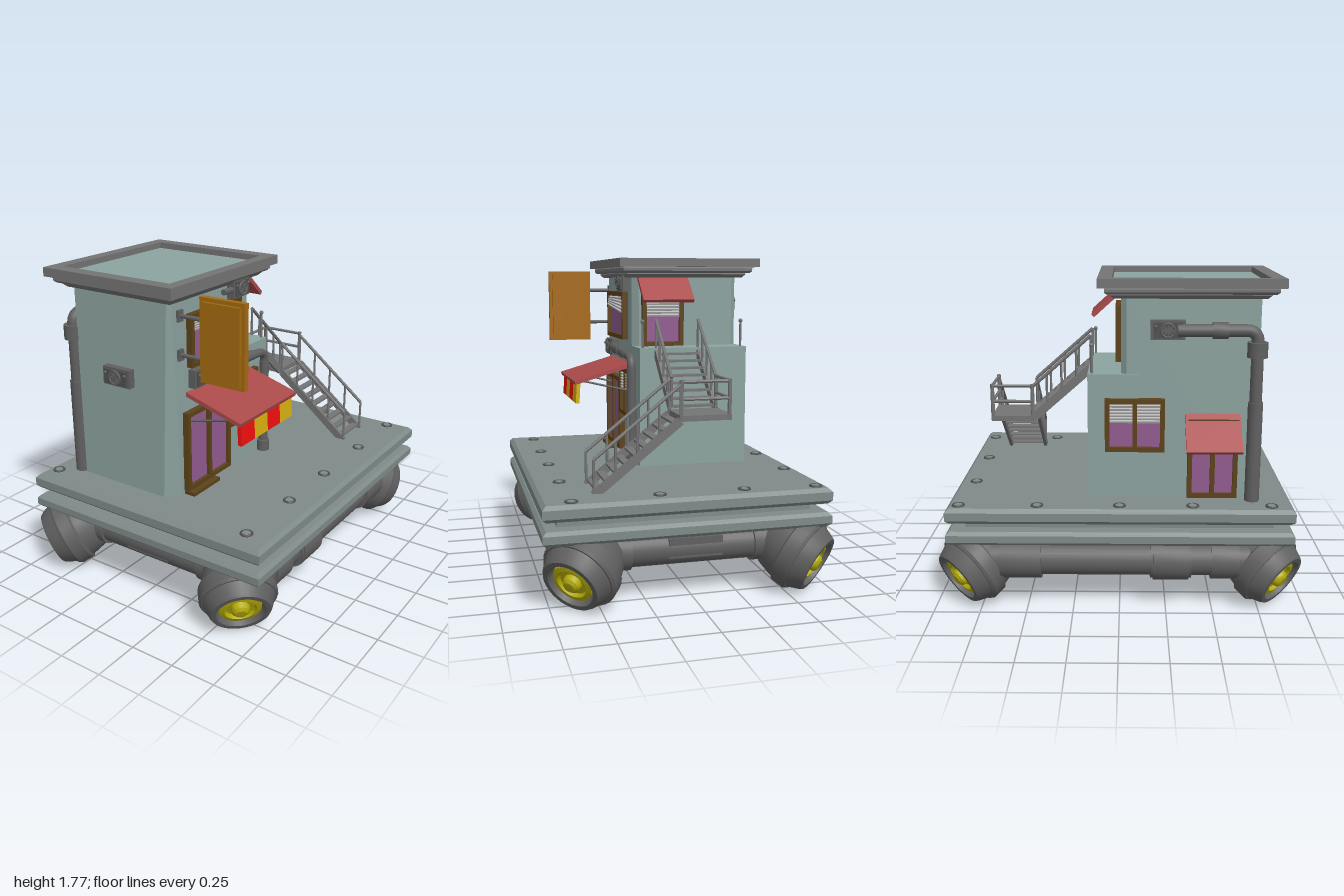
import * as THREE from 'three';
import { toCreasedNormals } from 'three/addons/utils/BufferGeometryUtils.js';

const C = {
  wall: 0x8ca39f, deck: 0x7f8b89, trim: 0x747474, metal: 0x606060, dark: 0x505050, red: 0xaa4a4a,
  stripeA: 0xf01010, stripeB: 0xd8b010, sign: 0xa56a10, pane: 0x935c90, wood: 0x5c4219, hub: 0xb3ab08, slat: 0xb8b8b8,
};
const mats = {};
const mat = (c) => (mats[c] ??= new THREE.MeshStandardMaterial({ color: C[c], side: THREE.DoubleSide }));
const V = (p) => new THREE.Vector3(...p);

function add(parent, name, geo, color, pos = [0, 0, 0], rot = [0, 0, 0]) {
  const m = new THREE.Mesh(geo, mat(color));
  m.name = name;
  m.position.set(...pos);
  m.rotation.set(...rot);
  parent.add(m);
  return m;
}
function group(parent, name, pos = [0, 0, 0], ry = 0) {
  const g = new THREE.Group();
  g.name = name;
  g.position.set(...pos);
  g.rotation.y = ry;
  parent.add(g);
  return g;
}
const box = (w, h, d) => new THREE.BoxGeometry(w, h, d);
// Box given by its min and max corners
const span = (p, name, c, x0, x1, y0, y1, z0, z1) =>
  add(p, name, box(x1 - x0, y1 - y0, z1 - z0), c, [(x0 + x1) / 2, (y0 + y1) / 2, (z0 + z1) / 2]);

// Round bar between two points
function rod(p, name, a, b, r, c = 'metal', sides = 16) {
  const d = V(b).sub(V(a));
  const m = add(p, name, toCreasedNormals(new THREE.CylinderGeometry(r, r, d.length(), sides), 0.7), c);
  m.position.copy(V(a)).addScaledVector(d, 0.5);
  m.quaternion.setFromUnitVectors(new THREE.Vector3(0, 1, 0), d.normalize());
  return m;
}
function bentPipe(p, name, pts, r) {
  const path = new THREE.CurvePath();
  for (let i = 0, from = V(pts[0]); i < pts.length - 1; i++) {
    const end = V(pts[i + 1]);
    if (i === pts.length - 2) { path.add(new THREE.LineCurve3(from, end)); break; }
    const a = end.clone().add(from.clone().sub(end).setLength(0.06));
    const b = end.clone().add(V(pts[i + 2]).sub(end).setLength(0.06));
    path.add(new THREE.LineCurve3(from, a));
    path.add(new THREE.QuadraticBezierCurve3(a, end, b));
    from = b;
  }
  add(p, name, new THREE.TubeGeometry(path, 90, r, 16), 'metal');
}
// Horizontal slab with bevelled rim
function slab(p, name, c, x0, x1, y0, y1, z0, z1, b) {
  const s = new THREE.Shape([[x0 + b, -z0 - b], [x1 - b, -z0 - b], [x1 - b, -z1 + b], [x0 + b, -z1 + b]].map((q) => new THREE.Vector2(...q)));
  const g = new THREE.ExtrudeGeometry(s, { depth: y1 - y0 - 2 * b, bevelThickness: b, bevelSize: b, bevelSegments: 1 });
  add(p, name, g.rotateX(-Math.PI / 2).translate(0, y0 + b, 0), c);
}
// Frame with panes, facing local +z, base at y = 0
function opening(p, name, pos, ry, w, h, panes, blind = 0, tilt = 0) {
  const g = group(p, name, pos, ry), t = 0.025;
  add(g, 'pane', box(w - t, h - t, 0.02), 'pane', [0, h / 2, 0]);
  for (const y of [t / 2, h - t / 2]) add(g, 'frameRail', box(w, t, 0.06), 'wood', [0, y, 0]);
  for (let i = 0; i <= panes; i++)
    add(g, 'frameStile', box(t, h, 0.06), 'wood', [-w / 2 + t / 2 + (i * (w - t)) / panes, h / 2, 0]);
  for (let i = 0; i < blind; i++)
    add(g, 'blindSlat', box(w - 2 * t, 0.011, 0.016), 'slat', [0, h - t - 0.013 - i * 0.017, 0.016], [0.4, 0, -tilt * i]);
}
function fanUnit(p, pos, ry, w = 0.18) {
  const g = group(p, 'fanUnit', pos, ry);
  add(g, 'housing', box(w, 0.1, 0.05), 'metal', [0, 0, 0.015]);
  add(g, 'facePlate', box(w - 0.03, 0.08, 0.02), 'dark', [0, 0, 0.04]);
  add(g, 'fanRing', new THREE.TorusGeometry(0.036, 0.006, 8, 24), 'metal', [0, 0, 0.052]);
  for (let i = 0; i < 4; i++) add(g, 'fanBlade', box(0.065, 0.01, 0.006), 'metal', [0, 0, 0.053], [0, 0, (i * Math.PI) / 4]);
  for (const s of [-1, 1]) add(g, 'knob', new THREE.SphereGeometry(0.009, 10, 8), 'metal', [s * w * 0.36, 0.02, 0.05]);
}
// Sloping sheet facing local +z
function awning(p, name, pos, ry, w, run, drop) {
  const g = group(p, name, pos, ry);
  add(g, 'sheet', box(w, 0.022, Math.hypot(run, drop)), 'red', [0, -drop / 2, run / 2], [Math.atan2(drop, run), 0, 0]);
  return g;
}

function buildBase(root) {
  const base = group(root, 'base');
  slab(base, 'upperDeck', 'deck', -0.715, 0.795, 0.49, 0.575, -0.925, 0.93, 0.02);
  span(base, 'deckCore', 'deck', -0.63, 0.715, 0.43, 0.5, -0.83, 0.83);
  slab(base, 'lowerDeck', 'deck', -0.715, 0.795, 0.37, 0.445, -0.925, 0.93, 0.018);
  const bolts = [[-0.26, -0.83], [0.19, -0.83]];
  for (const z of [-0.86, -0.44, 0, 0.39, 0.81]) bolts.push([-0.645, z], [0.645, z]);
  for (const [x, z] of bolts) {
    add(base, 'boltRing', new THREE.TorusGeometry(0.028, 0.007, 8, 24), 'dark', [x, 0.577, z], [Math.PI / 2, 0, 0]);
    add(base, 'bolt', new THREE.CylinderGeometry(0.022, 0.022, 0.008, 20), 'deck', [x, 0.577, z]);
  }

  // Corner pods, tilted outward and down
  const prof = [[0, -0.19], [0.11, -0.19], [0.165, -0.13], [0.185, -0.06], [0.19, -0.03], [0.205, -0.02], [0.208, 0.05], [0.198, 0.065],
    [0.19, 0.065], [0.165, 0.125], [0.155, 0.14], [0.13, 0.14], [0.12, 0.09], [0, 0.09]].map((q) => new THREE.Vector2(...q));
  const podGeo = toCreasedNormals(new THREE.LatheGeometry(prof, 32), 0.5);
  const hubProf = [[0.118, 0.09], [0.11, 0.12], [0.085, 0.125], [0.075, 0.105], [0.05, 0.105], [0.045, 0.135], [0.03, 0.148], [0, 0.15]];
  const hubGeo = toCreasedNormals(new THREE.LatheGeometry(hubProf.map((q) => new THREE.Vector2(...q)), 28), 0.5);
  for (const sx of [-1, 1]) for (const sz of [-1, 1]) {
    const pod = group(base, 'cornerPod', [sx * 0.575, 0.212, sz * 0.787]);
    pod.quaternion.setFromUnitVectors(new THREE.Vector3(0, 1, 0), V([sx * 0.62, -0.42, sz * 0.66]).normalize());
    add(pod, 'podShell', podGeo, 'metal');
    add(pod, 'podHub', hubGeo, 'hub');
  }
  // Connecting tubes and collars
  for (const s of [-1, 1]) {
    rod(base, 'crossTube', [-0.5, 0.265, s * 0.72], [0.5, 0.265, s * 0.72], 0.09, 'metal', 28);
    for (const e of [-1, 1]) rod(base, 'crossCollar', [e * 0.33, 0.265, s * 0.72], [e * 0.5, 0.265, s * 0.72], 0.105, 'metal', 28);
    span(base, 'tubePanel', 'metal', -0.155, 0.135, 0.225, 0.33, s * 0.76 - 0.045, s * 0.76 + 0.045);
    const x = s * 0.63;
    rod(base, 'sideTube', [x, 0.27, -0.7], [x, 0.27, 0.7], 0.09, 'metal', 28);
    for (const [a, b, r] of [[0.18, 0.37, 0.115], [0.49, 0.64, 0.108], [-0.64, -0.42, 0.108], [0.165, 0.385, 0.105]])
      rod(base, 'sideCollar', [x, 0.27, a], [x, 0.27, b], r, 'metal', 28);
  }
}

function buildTower(root) {
  const t = group(root, 'tower');
  // Main shaft: cut front corner that narrows upward
  const foot = [[-0.5, -0.735], [0.065, -0.735], [0.135, -0.67], [0.135, -0.04], [0.1, -0.005], [-0.47, -0.005], [-0.5, -0.035]];
  const shaft = new THREE.ExtrudeGeometry(new THREE.Shape(foot.map((q) => new THREE.Vector2(...q))), { depth: 1.12, bevelEnabled: false });
  shaft.rotateX(-Math.PI / 2).translate(0, 0.57, 0);
  const pos = shaft.attributes.position;
  for (let i = 0; i < pos.count; i++) if (pos.getX(i) > 0.05 && pos.getZ(i) > 0.6 && pos.getY(i) > 1) {
    pos.setX(i, THREE.MathUtils.lerp(pos.getX(i), 0.135, 0.75));
    pos.setZ(i, THREE.MathUtils.lerp(pos.getZ(i), 0.735, 0.75));
  }
  shaft.computeVertexNormals();
  add(t, 'shaft', shaft, 'wall');
  span(t, 'rearBlock', 'wall', -0.503, 0.136, 0.57, 1.26, -0.172, 0.1);

  // Cornice and recessed roof
  slab(t, 'corniceFoot', 'trim', -0.54, 0.18, 1.66, 1.7, -0.05, 0.78, 0.018);
  slab(t, 'corniceStep', 'trim', -0.57, 0.21, 1.685, 1.725, -0.08, 0.815, 0.012);
  const rim = new THREE.Shape([[-0.605, 0.115], [0.237, 0.115], [0.237, -0.847], [-0.605, -0.847]].map((q) => new THREE.Vector2(...q)));
  rim.holes.push(new THREE.Path([[-0.535, 0.04], [-0.535, -0.77], [0.17, -0.77], [0.17, 0.04]].map((q) => new THREE.Vector2(...q))));
  add(t, 'corniceRim', new THREE.ExtrudeGeometry(rim, { depth: 0.048, bevelEnabled: false }).rotateX(-Math.PI / 2), 'trim', [0, 1.72, 0]);
  span(t, 'roof', 'wall', -0.54, 0.175, 1.715, 1.735, -0.045, 0.775);

  // Doors and windows
  const R = Math.PI / 2;
  opening(t, 'shopDoor', [0.14, 0.6, 0.445], R, 0.4, 0.45, 2);
  opening(t, 'shopWindow', [0.14, 0.835, 0.105], R, 0.29, 0.285, 2, 6);
  opening(t, 'upperWindow', [0.14, 1.29, 0.37], R, 0.46, 0.285, 1, 5, 0.035);
  opening(t, 'sideDoor', [-0.503, 0.58, 0.5], -R, 0.27, 0.44, 2);
  opening(t, 'sideWindow', [-0.505, 0.84, 0.08], -R, 0.32, 0.29, 2, 6);
  opening(t, 'terraceDoor', [-0.04, 1.26, 0.002], Math.PI, 0.25, 0.32, 1, 7);
  span(t, 'doorStep', 'wood', 0.13, 0.2, 0.575, 0.595, 0.4, 0.64);

  // Awnings; the shop one has a striped valance
  const shop = awning(t, 'shopAwning', [0.13, 1.145, 0.333], R, 0.56, 0.345, 0.1);
  for (let i = 0; i < 4; i++)
    add(shop, 'valanceStripe', box(0.127, 0.125, 0.022), i % 2 ? 'stripeB' : 'stripeA', [-0.19 + i * 0.127, -0.163, 0.323], [-0.06, 0, 0]);
  for (const s of [-1, 1]) rod(shop, 'awningStay', [s * 0.25, -0.16, 0.01], [s * 0.25, -0.09, 0.3], 0.006);
  awning(t, 'sideAwning', [-0.49, 1.04, 0.497], -R, 0.295, 0.175, 0.165);
  awning(t, 'terraceAwning', [-0.04, 1.665, 0], Math.PI, 0.3, 0.155, 0.14);

  // Hanging sign on two brackets
  const sign = group(t, 'sign');
  span(sign, 'signBoard', 'sign', 0.275, 0.54, 1.26, 1.7, 0.643, 0.675);
  span(sign, 'signPanel', 'sign', 0.295, 0.52, 1.28, 1.68, 0.627, 0.691);
  for (const y of [1.375, 1.58]) {
    rod(sign, 'signBracket', [0.12, y, 0.659], [0.29, y, 0.659], 0.011);
    span(sign, 'bracketPlate', 'metal', 0.125, 0.15, y - 0.03, y + 0.03, 0.64, 0.68);
  }

  // Fan units and their pipes
  fanUnit(t, [-0.2, 1.22, 0.735], 0);
  fanUnit(t, [0.14, 1.225, 0.5], R);
  fanUnit(t, [0.14, 1.63, 0.16], R, 0.15);
  fanUnit(t, [-0.503, 1.5, 0.25], -R);
  bentPipe(t, 'leftPipe', [[-0.545, 1.5, 0.3], [-0.545, 1.5, 0.715], [-0.545, 0.575, 0.715]], 0.033);
  rod(t, 'pipeSleeve', [-0.545, 0.575, 0.715], [-0.545, 1.12, 0.715], 0.04);
  rod(t, 'pipeJoint', [-0.545, 1.36, 0.715], [-0.545, 1.44, 0.715], 0.054);
  rod(t, 'pipeJoint', [-0.545, 1.5, 0.48], [-0.545, 1.5, 0.56], 0.043);
  bentPipe(t, 'rightPipe', [[0.17, 1.225, 0.46], [0.17, 1.225, 0.3], [0.17, 1.2, -0.1], [0.17, 0.575, -0.1]], 0.024);
  rod(t, 'pipeJoint', [0.17, 1.222, 0.2], [0.17, 1.218, 0.34], 0.029);
  rod(t, 'pipeSleeve', [0.17, 1.21, 0.03], [0.17, 1.212, 0.16], 0.028);
  rod(t, 'pipeSleeve', [0.17, 0.65, -0.1], [0.17, 1.14, -0.1], 0.028);
  rod(t, 'pipeFoot', [0.17, 0.575, -0.1], [0.17, 0.64, -0.1], 0.038);
  rod(t, 'upperFanPipe', [0.165, 1.63, 0.22], [0.165, 1.63, 0.31], 0.016);
}

// Straight flight from top to bottom centre points, with stringers, treads and rails
function flight(p, name, top, bottom, width, steps) {
  const g = group(p, name), a = V(top), b = V(bottom), d = b.clone().sub(a);
  const along = new THREE.Vector3(d.x, 0, d.z).normalize(), ry = Math.atan2(along.x, along.z);
  const side = new THREE.Vector3(along.z, 0, -along.x);
  const at = (f, s, h) => a.clone().addScaledVector(d, f).addScaledVector(side, s * width / 2).add(V([0, h, 0])).toArray();
  for (const s of [-1, 1]) {
    const m = add(g, 'stringer', box(0.018, 0.045, d.length()), 'trim', at(0.5, s, -0.01));
    m.rotation.set(Math.atan2(-d.y, Math.hypot(d.x, d.z)), ry, 0, 'YXZ');
    rod(g, 'handrail', at(0, s, 0.175), at(1, s, 0.175), 0.01, 'trim', 8);
    for (let i = 0; i <= 4; i++) rod(g, 'baluster', at(i / 4, s, 0), at(i / 4, s, 0.175), 0.007, 'trim', 8);
  }
  for (let i = 0; i < steps; i++)
    add(g, 'tread', box(width, 0.012, 0.042), 'trim', at((i + 0.5) / steps, 0, 0), [0, ry, 0]);
}

function buildStairs(root) {
  const s = group(root, 'stairs');
  flight(s, 'upperFlight', [-0.085, 1.245, -0.165], [-0.085, 0.95, -0.5], 0.25, 8);
  flight(s, 'lowerFlight', [0.055, 0.94, -0.615], [0.51, 0.575, -0.615], 0.225, 9);
  span(s, 'landing', 'trim', -0.22, 0.055, 0.925, 0.955, -0.735, -0.495);
  const corners = [[-0.21, -0.5], [-0.21, -0.727], [0.05, -0.727]];
  corners.forEach(([x, z], i) => {
    rod(s, 'landingPost', [x, 0.93, z], [x, 1.14, z], 0.011, 'trim', 8);
    if (i) for (const y of [1.13, 1.04]) rod(s, 'landingRail', [corners[i - 1][0], y, corners[i - 1][1]], [x, y, z], 0.009, 'trim', 8);
  });
  // Small posts at the terrace edge
  for (const x of [-0.475, 0.115]) {
    rod(s, 'terracePost', [x, 1.25, -0.15], [x, 1.41, -0.15], 0.007, 'trim', 8);
    add(s, 'postKnob', new THREE.SphereGeometry(0.012, 10, 8), 'trim', [x, 1.41, -0.15]);
  }
}

export function createModel() {
  const root = new THREE.Group();
  root.name = 'towerHouse';
  buildBase(root);
  buildTower(root);
  buildStairs(root);
  return root;
}
